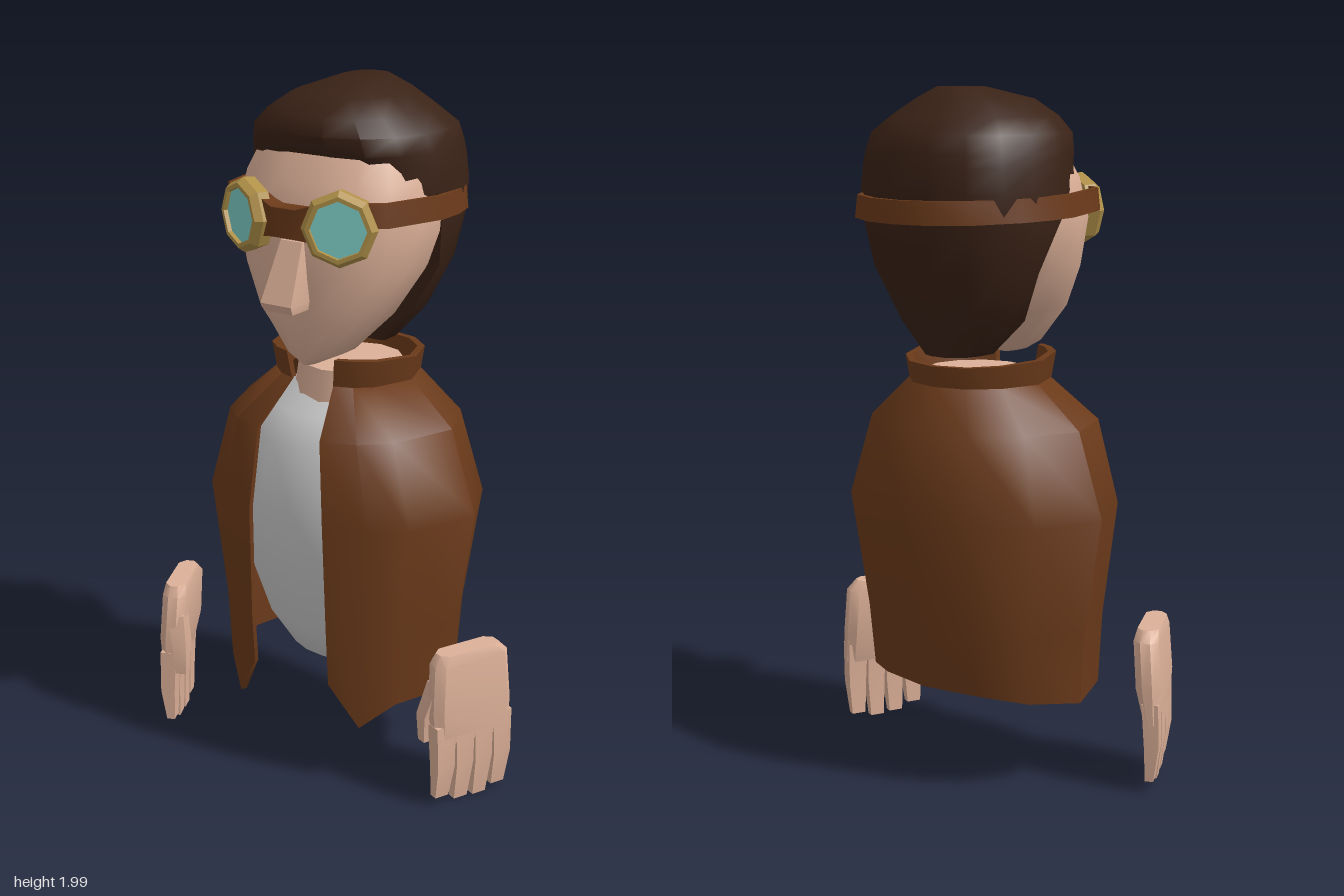
import * as THREE from 'three';
import { toCreasedNormals } from 'three/addons/utils/BufferGeometryUtils.js';

const mat = (color) => new THREE.MeshStandardMaterial({ color, side: THREE.DoubleSide });
const V = (x, y, z) => new THREE.Vector3(x, y, z);

// Skin a list of equal-length closed rings, cap both ends, face outwards.
function loft(rings, crease = 0.75) {
  const n = rings[0].length, idx = [], pts = rings.flat();
  const quad = (a, b, c, d) => idx.push(a, b, c, a, c, d);
  for (let r = 0; r < rings.length - 1; r++)
    for (let i = 0; i < n; i++) {
      const j = (i + 1) % n;
      quad(r * n + i, r * n + j, (r + 1) * n + j, (r + 1) * n + i);
    }
  const e = (rings.length - 1) * n;
  for (let i = 0; i < n / 2 - 1; i++) {
    quad(i + 1, i, n - 1 - i, n - 2 - i);
    quad(e + i, e + i + 1, e + n - 2 - i, e + n - 1 - i);
  }
  let volume = 0;
  for (let k = 0; k < idx.length; k += 3)
    volume += pts[idx[k]].dot(pts[idx[k + 1]].clone().cross(pts[idx[k + 2]]));
  if (volume < 0) idx.reverse();
  const g = new THREE.BufferGeometry().setFromPoints(pts);
  g.setIndex(idx);
  return toCreasedNormals(g, crease);
}

// Rounded horizontal ring; z can be clipped flat at the front.
function oval([y, sx, zf, zb, clip = 9], n = 16) {
  const soft = (v) => Math.sign(v) * Math.abs(v) ** 0.85;
  return Array.from({ length: n }, (_, i) => {
    const a = ((i + 0.5) / n) * Math.PI * 2;
    const z = (zf + zb) / 2 + (soft(Math.cos(a)) * (zf - zb)) / 2;
    return V(soft(Math.sin(a)) * sx, y, Math.min(z, clip));
  });
}

const block = (y, x0, x1, z0, z1) => [V(x0, y, z0), V(x1, y, z0), V(x1, y, z1), V(x0, y, z1)];

// Open-fronted garment shell: rows are [y, halfWidth, front, back, halfOpening].
const COLS = [[0, 0.97], [0.58, 0.86], [0.8, 0.65], [1, 0.06], [0.8, -0.53], [0.46, -0.88], [0, -1]];
function garment(rows, inset, hem, tilt = 0) {
  const half = COLS.map(([cx, cz], c) => {
    const at = (r, s) => {
      const [y, sx, zf, zb, open] = rows[r];
      const z = cz > 0 ? cz * zf : -cz * zb;
      const yy = hem && r === rows.length - 1 ? hem[c] : y + tilt * z;
      const x = c === 0 ? open : Math.max(cx * sx, c === 1 ? open + 0.03 : 0);
      return V(x * (c === 0 ? 1 : s), yy, z * s);
    };
    const ids = rows.map((_, r) => r);
    return [...ids.map((r) => at(r, 1)), ...ids.reverse().map((r) => at(r, inset))];
  });
  const other = half.slice(0, -1).reverse().map((ring) => ring.map((p) => V(-p.x, p.y, p.z)));
  return loft([...half, ...other]);
}

export function createModel() {
  const model = new THREE.Group();
  const skin = mat(0xdcb098), leather = mat(0x6b3a1a), hairMat = mat(0x3a2216);
  const brass = mat(0xb09048), glass = mat(0x7fd0c8), cloth = mat(0xcccccc);
  const add = (name, geo, material, parent = model) => {
    const m = new THREE.Mesh(geo, material);
    m.name = name;
    parent.add(m);
    return m;
  };

  // Head and nose
  add('head', loft([
    [1.24, 0.02, 0.23, 0.12], [1.27, 0.085, 0.25, 0.02], [1.38, 0.19, 0.275, -0.06],
    [1.5, 0.255, 0.28, -0.14], [1.64, 0.295, 0.28, -0.2], [1.75, 0.275, 0.255, -0.2],
    [1.84, 0.24, 0.2, -0.18],
  ].map((r) => oval(r)), 1), skin);
  add('nose', loft([
    block(1.6, -0.035, 0.035, 0.24, 0.285), block(1.44, -0.05, 0.05, 0.24, 0.36),
    block(1.415, -0.045, 0.045, 0.24, 0.345),
  ], 0.5), skin);

  // Hair, cut flat behind the face and overhanging the forehead
  add('hair', loft([
    [1.26, 0.09, 0.05, -0.18, -0.03], [1.36, 0.19, 0.15, -0.225, -0.02],
    [1.5, 0.262, 0.2, -0.28, -0.05], [1.64, 0.298, 0.22, -0.3, 0],
    [1.72, 0.298, 0.22, -0.31, 0.14], [1.79, 0.29, 0.22, -0.305, 0.16],
    [1.825, 0.285, 0.23, -0.3, 0.215], [1.875, 0.27, 0.24, -0.29],
    [1.92, 0.22, 0.22, -0.24], [1.965, 0.15, 0.17, -0.19], [2.0, 0.06, 0.0, -0.14],
  ].map((r) => oval(r)), 0.9), hairMat);

  // Goggles: strap, bridge, two angled eyepieces
  const goggles = new THREE.Group();
  goggles.name = 'goggles';
  model.add(goggles);
  const side = [[0.22, 0.25], [0.26, 0.22], [0.31, 0.03], [0.305, -0.06], [0.28, -0.15], [0.2, -0.28], [0.1, -0.335]];
  const path = [...side, [0, -0.352], ...side.map(([x, z]) => [-x, z]).reverse()];
  add('strap', loft(path.map(([x, z]) => {
    const y = 1.682 + 0.025 * z, s = 0.955;
    return [V(x, y + 0.032, z), V(x * 1.02, y - 0.032, z * 1.02),
      V(x * s, y - 0.032, z * s), V(x * s, y + 0.032, z * s)];
  })), leather, goggles);
  add('bridge', loft([-0.1, -0.04, 0.04, 0.1].map((x) => {
    const out = Math.abs(x) > 0.05 ? 1 : 0, z = 0.322 - out * 0.02;
    return [V(x, 1.615 - out * 0.01, z), V(x, 1.695 + out * 0.02, z),
      V(x, 1.695 + out * 0.02, 0.25), V(x, 1.615 - out * 0.01, 0.25)];
  })), leather, goggles);
  const rimProfile = [[0.076, -0.025], [0.1, -0.025], [0.104, 0.01], [0.09, 0.03], [0.078, 0.03], [0.076, -0.025]]
    .map(([r, h]) => new THREE.Vector2(r, h));
  for (const s of [1, -1]) {
    const eye = new THREE.Group();
    eye.name = s > 0 ? 'leftEyepiece' : 'rightEyepiece';
    eye.position.set(0.152 * s, 1.652, 0.277);
    eye.rotation.y = 0.4 * s;
    const rim = toCreasedNormals(new THREE.LatheGeometry(rimProfile, 8).rotateX(Math.PI / 2), 0.5);
    add('rim', rim, brass, eye);
    add('lens', new THREE.CylinderGeometry(0.08, 0.08, 0.035, 8).rotateX(Math.PI / 2), glass, eye);
    goggles.add(eye);
  }

  // Neck stub and shirt
  add('neck', new THREE.CylinderGeometry(0.15, 0.165, 0.1, 12).translate(0, 1.155, 0), skin);
  const shirt = [[0, 0.23], [0.19, 0.32], [0.27, 0.43], [0.34, 0.62], [0.37, 0.82], [0.32, 1.0], [0.25, 1.08], [0.15, 1.15]]
    .map(([r, y]) => new THREE.Vector2(r, y));
  add('shirt', new THREE.LatheGeometry(shirt, 18).scale(1, 1, 0.81), cloth);

  // Jacket with pointed front hems, and its standing collar
  add('jacket', garment([
    [1.18, 0.21, 0.2, -0.19, 0.07], [1.06, 0.35, 0.32, -0.27, 0.105],
    [0.82, 0.43, 0.34, -0.32, 0.125], [0.48, 0.375, 0.33, -0.27, 0.13],
    [0, 0.365, 0.32, -0.24, 0.13],
  ], 0.95, [0.33, 0.2, 0.27, 0.27, 0.29, 0.31, 0.31]), leather);
  add('collar', garment([
    [1.248, 0.225, 0.21, -0.2, 0.08], [1.17, 0.21, 0.2, -0.19, 0.07],
  ], 0.9, null, 0.06), leather);

  // Floating hands: local x is outward, z runs towards the thumb
  for (const s of [1, -1]) {
    const hand = new THREE.Group();
    hand.name = s > 0 ? 'leftHand' : 'rightHand';
    const slab = (y, x, t, z0, z1) => {
      const c = 0.022;
      return [[-t, z0 + c], [-t, z1 - c], [-t * 0.4, z1], [t * 0.4, z1], [t, z1 - c], [t, z0 + c], [t * 0.4, z0], [-t * 0.4, z0]]
        .map(([dx, z]) => V((x + dx) * s, y, z));
    };
    add('palm', loft([
      slab(0.47, 0, 0.03, -0.095, 0.1), slab(0.44, 0, 0.036, -0.125, 0.118),
      slab(0.3, 0.01, 0.036, -0.132, 0.128), slab(0.2, 0.02, 0.022, -0.13, 0.12),
    ]), skin, hand);
    [0.035, 0.015, 0.01, 0.025].forEach((tip, k) => {
      const z = 0.095 - k * 0.064;
      const cut = (y, x, t, w, dz) => block(y, (x - t) * s, (x + t) * s, z + dz - w, z + dz + w);
      add('finger', loft([cut(0.26, 0.018, 0.024, 0.031, 0), cut(0.13, 0.024, 0.021, 0.028, 0),
        cut(tip, 0.018, 0.012, 0.022, 0.004)], 0.5), skin, hand);
    });
    add('thumb', loft([
      block(0.38, -0.03 * s, 0.02 * s, 0.06, 0.115), block(0.28, -0.042 * s, 0.0, 0.075, 0.142),
      block(0.2, -0.038 * s, -0.008 * s, 0.095, 0.138),
    ], 0.5), skin, hand);
    hand.position.set(0.475 * s, s > 0 ? 0 : 0.02, s > 0 ? 0.12 : 0.215);
    hand.rotation.y = -0.43 * s;
    model.add(hand);
  }
  return model;
}
